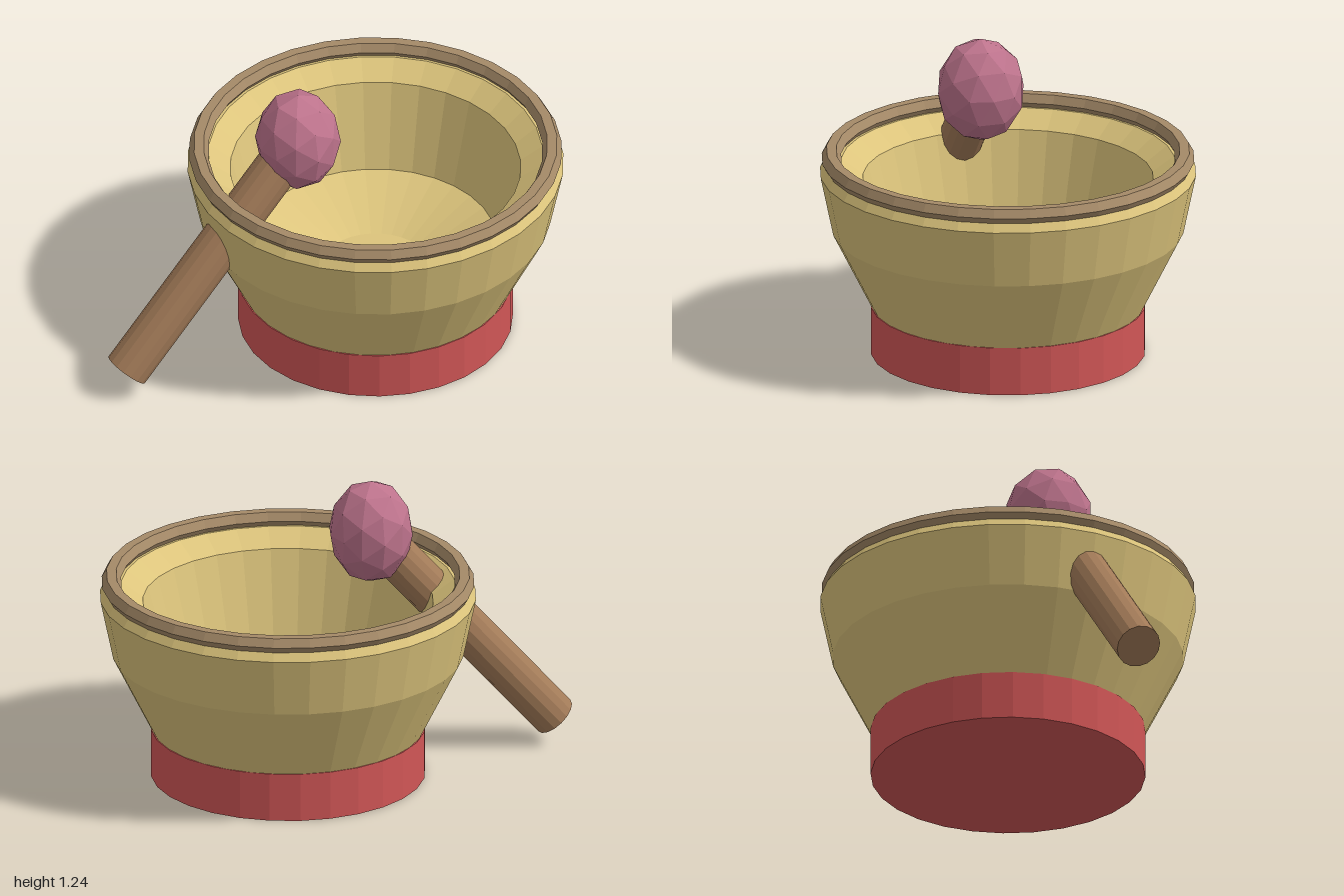
import * as THREE from 'three';

function part(name, geometry, color) {
  const mesh = new THREE.Mesh(geometry, new THREE.MeshStandardMaterial({ color, flatShading: true }));
  mesh.name = name;
  return mesh;
}

export function createModel() {
  const group = new THREE.Group();
  group.name = 'mortarAndPestle';

  // Mortar, offset so the leaning pestle balances the width
  const mortar = new THREE.Group();
  mortar.name = 'mortar';
  mortar.position.x = 0.225;
  group.add(mortar);

  const base = part('base', new THREE.CylinderGeometry(0.567, 0.567, 0.205, 28), 0xd05656);
  base.position.y = 0.1025;
  mortar.add(base);

  // Bowl: outer wall up, over the lip, then down the hollow to the floor
  const profile = [
    [0.47, 0.02], [0.725, 0.53], [0.777, 0.78], [0.755, 0.815],
    [0.69, 0.82], [0.6, 0.755], [0.5, 0.385], [0.22, 0.26], [0, 0.26],
  ].map(([r, y]) => new THREE.Vector2(r, y));
  mortar.add(part('bowl', new THREE.LatheGeometry(profile, 32), 0xdcc47c));

  // Six-sided ring on the lip
  const rim = part('rim', new THREE.TorusGeometry(0.73, 0.04, 6, 32), 0xa58a68);
  rim.rotation.x = -Math.PI / 2;
  rim.position.y = 0.84;
  mortar.add(rim);

  // Pestle handle runs from the low outer end to the knob
  const foot = new THREE.Vector3(-0.93, 0.11, 0);
  const top = new THREE.Vector3(-0.135, 1.02, 0);
  const axis = top.clone().sub(foot);
  const handle = part('pestleHandle', new THREE.CylinderGeometry(0.093, 0.093, axis.length(), 16), 0xa47c59);
  handle.position.copy(foot).add(top).multiplyScalar(0.5);
  handle.quaternion.setFromUnitVectors(new THREE.Vector3(0, 1, 0), axis.normalize());
  group.add(handle);

  const knob = part('pestleKnob', new THREE.IcosahedronGeometry(1, 1), 0xbd738c);
  knob.scale.set(0.175, 0.22, 0.185);
  knob.position.copy(top);
  group.add(knob);

  return group;
}
